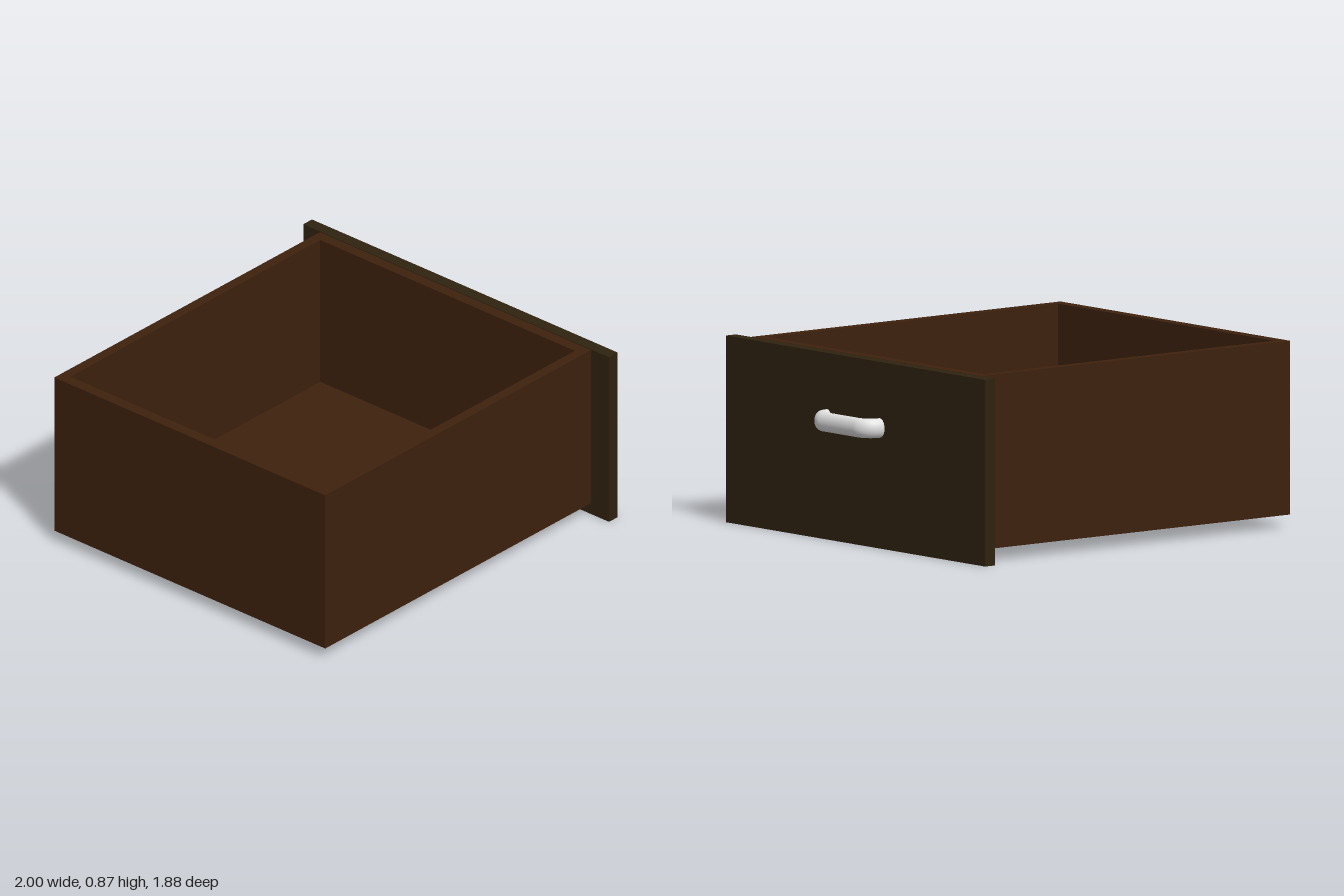
import * as THREE from 'three';

export function createModel() {
  const group = new THREE.Group();
  const material = (name, color) => {
    const m = new THREE.MeshStandardMaterial({ color });
    m.name = name;
    return m;
  };
  const wood = material('brown wood', 0x3d210d);
  const darkWood = material('dark olive wood', 0x2f220f);
  const metal = material('pale metal', 0xe0e0e0);

  const add = (name, geometry, mat, x, y, z) => {
    const mesh = new THREE.Mesh(geometry, mat);
    mesh.name = name;
    mesh.position.set(x, y, z);
    group.add(mesh);
    return mesh;
  };
  const rectangle = (path, x0, x1, z0, z1) =>
    path.moveTo(x0, z0).lineTo(x1, z0).lineTo(x1, z1).lineTo(x0, z1).closePath();

  // Four walls as one extruded frame, open at the top
  const frame = new THREE.Shape();
  rectangle(frame, -1, 0.832, -0.833, 0.833);
  const opening = new THREE.Path();
  rectangle(opening, -0.945, 0.777, -0.783, 0.783);
  frame.holes.push(opening);
  const walls = new THREE.ExtrudeGeometry(frame, { depth: 0.805, bevelEnabled: false });
  walls.rotateX(-Math.PI / 2);
  add('walls', walls, wood, 0, 0.06, 0);

  // Floor fitted between the walls
  add('floor', new THREE.BoxGeometry(1.722, 0.06, 1.566), wood, -0.084, 0.09, 0);

  // Overhanging front panel
  add('frontPanel', new THREE.BoxGeometry(0.06, 0.865, 1.88), darkWood, 0.866, 0.4325, 0);

  // Handle: rounded bow with an oval section
  const v = (x, z) => new THREE.Vector3(x, 0, z);
  const bow = new THREE.CurvePath();
  const k = 0.0387; // Bezier handle length for a quarter circle
  bow.add(new THREE.LineCurve3(v(-0.01, -0.192), v(0, -0.192)));
  bow.add(new THREE.CubicBezierCurve3(v(0, -0.192), v(k, -0.192), v(0.07, -0.122 - k), v(0.07, -0.122)));
  bow.add(new THREE.LineCurve3(v(0.07, -0.122), v(0.07, 0.122)));
  bow.add(new THREE.CubicBezierCurve3(v(0.07, 0.122), v(0.07, 0.122 + k), v(k, 0.192), v(0, 0.192)));
  bow.add(new THREE.LineCurve3(v(0, 0.192), v(-0.01, 0.192)));
  const handle = add('handle', new THREE.TubeGeometry(bow, 64, 0.033, 20, false), metal, 0.896, 0.559, 0.014);
  handle.scale.y = 1.38;

  return group;
}
